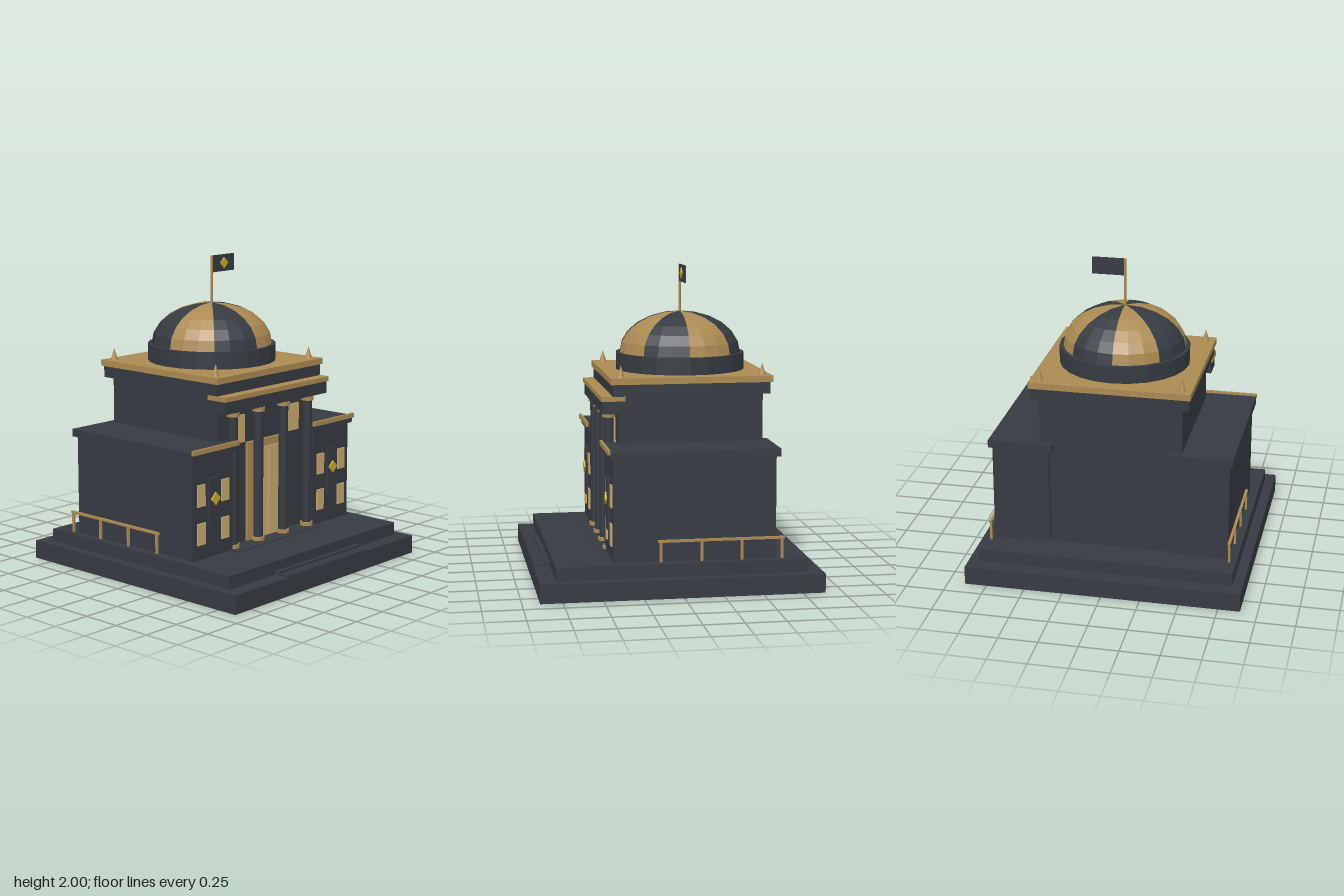
import * as THREE from 'three';

const mat = (name, color) => {
  const m = new THREE.MeshStandardMaterial({ color });
  m.name = name;
  return m;
};

export function createModel() {
  const model = new THREE.Group();
  model.name = 'domedHall';
  const slate = mat('slate', 0x363b42);
  const gold = mat('gold', 0xab8a52);
  const pane = mat('warmPane', 0xc9a970);
  const yellow = mat('emblemYellow', 0xc8a92f);

  const add = (name, geometry, material, x = 0, y = 0, z = 0) => {
    const mesh = new THREE.Mesh(geometry, material);
    mesh.name = name;
    mesh.position.set(x, y, z);
    model.add(mesh);
    return mesh;
  };
  // Box given by its extents
  const box = (name, material, x0, x1, y0, y1, z0, z1) =>
    add(name, new THREE.BoxGeometry(x1 - x0, y1 - y0, z1 - z0), material,
      (x0 + x1) / 2, (y0 + y1) / 2, (z0 + z1) / 2);
  // Same box on both sides of the building
  const pair = (name, material, x0, x1, ...rest) => {
    box(name + 'Left', material, x0, x1, ...rest);
    box(name + 'Right', material, -x1, -x0, ...rest);
  };
  // Upright cylinder from y0 to y1
  const post = (name, material, r, x, y0, y1, z, sides = 16) =>
    add(name, new THREE.CylinderGeometry(r, r, y1 - y0, sides), material, x, (y0 + y1) / 2, z);
  const diamond = (name, r, x, y, z, depth) => {
    const side = r * Math.SQRT2;
    add(name, new THREE.BoxGeometry(side, side, depth), yellow, x, y, z).rotation.z = Math.PI / 4;
  };

  // Plinth and entrance steps
  box('lowerPlinth', slate, -0.89, 0.89, 0, 0.12, -0.89, 0.89);
  box('upperPlinth', slate, -0.825, 0.825, 0.12, 0.205, -0.79, 0.787);
  box('lowerStep', slate, -0.405, 0.405, 0.12, 0.13, 0.78, 0.888);
  box('upperStep', slate, -0.405, 0.405, 0.13, 0.143, 0.78, 0.82);
  box('porchFloor', slate, -0.42, 0.42, 0.205, 0.211, 0.34, 0.49);

  // Central block and its cornice
  box('centralBlock', slate, -0.457, 0.457, 0.205, 1.21, -0.575, 0.35);
  box('cornice', slate, -0.503, 0.503, 1.205, 1.28, -0.615, 0.39);
  box('roofSlab', gold, -0.515, 0.515, 1.28, 1.32, -0.63, 0.403);

  // Portico beam
  box('porticoBeam', slate, -0.495, 0.495, 1.095, 1.175, 0.315, 0.455);
  box('porticoTrim', gold, -0.505, 0.505, 1.175, 1.205, 0.31, 0.463);

  // Side wings
  pair('wing', slate, 0.395, 0.765, 0.205, 0.85, -0.598, 0.425);
  pair('wingCap', slate, 0.37, 0.787, 0.85, 0.9, -0.622, 0.443);
  pair('wingTrim', gold, 0.37, 0.79, 0.885, 0.915, 0.443, 0.46);

  // Wing windows, plaques and emblems
  for (const x of [0.472, 0.69])
    for (const y of [0.37, 0.615])
      pair('wingWindow', pane, x - 0.035, x + 0.035, y - 0.07, y + 0.07, 0.425, 0.434);
  pair('plaque', slate, 0.537, 0.623, 0.387, 0.715, 0.425, 0.444);
  for (const x of [-0.58, 0.58]) diamond('wallEmblem', 0.041, x, 0.58, 0.449, 0.01);

  // Upper windows and door
  pair('upperWindow', pane, 0.207, 0.327, 0.865, 1.045, 0.35, 0.359);
  box('doorFrame', gold, -0.19, 0.19, 0.205, 0.86, 0.35, 0.37);
  pair('doorLeaf', pane, 0.005, 0.13, 0.218, 0.81, 0.37, 0.379);

  // Columns
  for (const x of [-0.365, -0.122, 0.122, 0.365]) {
    post('columnBase', gold, 0.042, x, 0.207, 0.235, 0.4);
    post('columnShaft', slate, 0.031, x, 0.235, 1.06, 0.4);
    post('columnCapital', gold, 0.041, x, 1.06, 1.085, 0.4);
    post('columnTop', slate, 0.031, x, 1.085, 1.096, 0.4);
  }

  // Side railings
  pair('handRail', gold, 0.77, 0.788, 0.33, 0.345, -0.652, 0.148);
  for (const z of [0.13, -0.125, -0.38, -0.635])
    pair('railPost', gold, 0.772, 0.786, 0.205, 0.33, z - 0.008, z + 0.008);

  // Drum and eight-part striped dome
  const cz = -0.117;
  const drum = new THREE.CylinderGeometry(0.42, 0.42, 0.11, 24).toNonIndexed();
  drum.computeVertexNormals();
  add('drum', drum, slate, 0, 1.375, cz);
  for (let k = 0; k < 8; k++) {
    const wedge = new THREE.SphereGeometry(1, 3, 6, k * Math.PI / 4, Math.PI / 4, 0, Math.PI / 2)
      .scale(0.395, 0.265, 0.395).toNonIndexed();
    wedge.computeVertexNormals();
    add('domeWedge', wedge, k % 2 ? slate : gold, 0, 1.43, cz);
  }

  // Corner spikes
  for (const x of [-0.453, 0.453])
    for (const z of [-0.57, 0.333])
      add('cornerSpike', new THREE.ConeGeometry(0.025, 0.078, 12), gold, x, 1.358, z);

  // Flag
  post('flagPole', gold, 0.008, 0, 1.68, 2, cz, 8);
  box('flag', slate, 0.006, 0.212, 1.89, 2, cz - 0.005, cz + 0.005);
  diamond('flagEmblem', 0.037, 0.11, 1.945, cz + 0.009, 0.008);

  return model;
}
